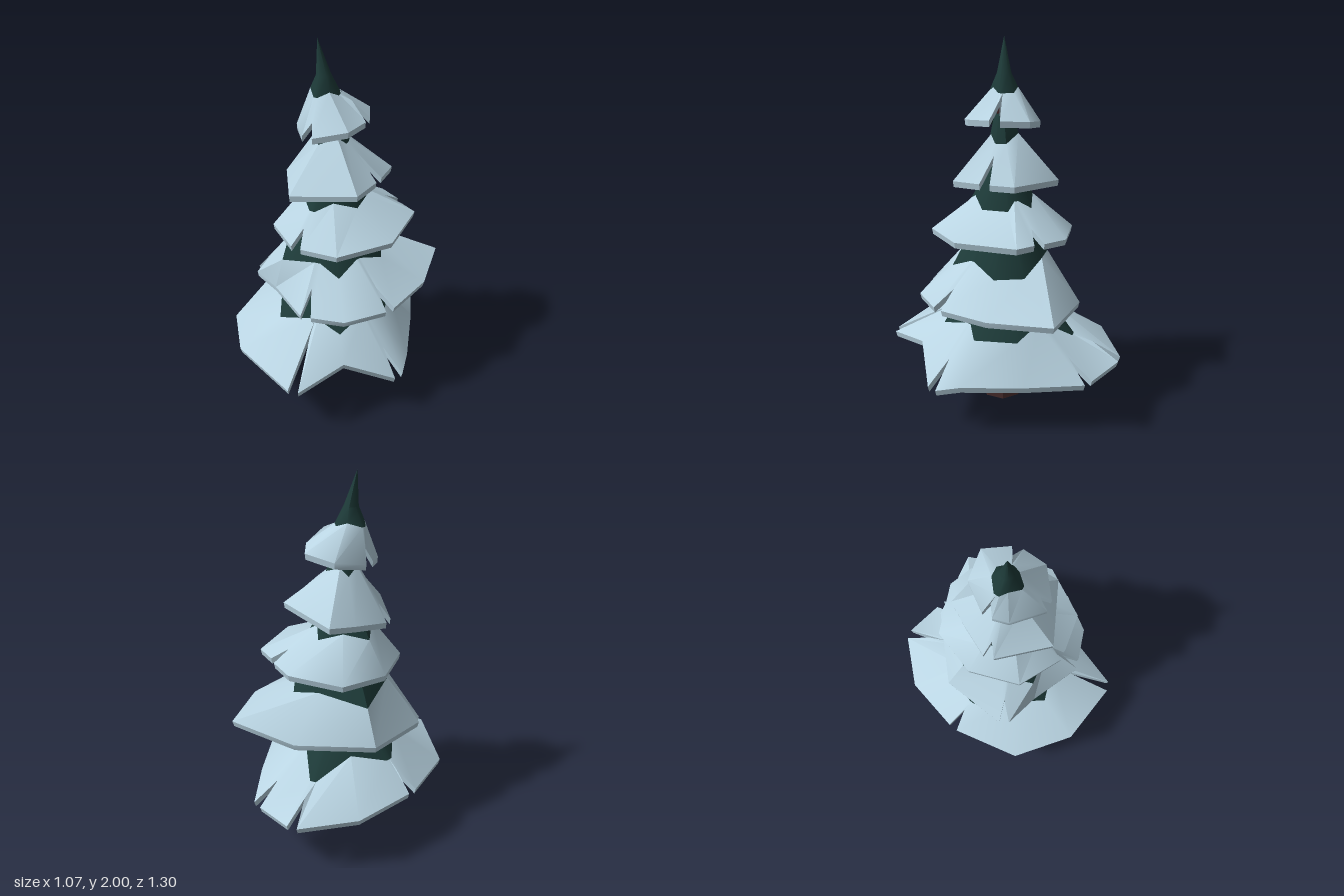
import * as THREE from 'three';
import { toCreasedNormals } from 'three/addons/utils/BufferGeometryUtils.js';

const material = (name, color) => {
  const m = new THREE.MeshStandardMaterial({ color });
  m.name = name;
  return m;
};

// Each tier: rim corners as [degrees from +x towards +z, radius, optional lift], which corners are cut
// by a notch, rim height and its tilt along x, and the [radius, height] of the snow line and neck
const TIERS = [
  {
    tipY: 0.78, neck: [0.18, 0.65], split: [0.31, 0.5], rimY: 0.32, tilt: -0.07, notches: [1, 3, 6, 8, 9], deep: 3, bare: 8,
    corners: [[17, 0.52], [32, 0.575, -0.03], [64, 0.48, 0.07], [90, 0.65], [128, 0.6, 0.02], [163, 0.56, -0.05],
      [208, 0.505], [247, 0.575], [279, 0.655], [305, 0.61], [338, 0.48]],
  },
  {
    tipY: 1.18, neck: [0.12, 1.06], split: [0.26, 0.84], rimY: 0.65, tilt: 0.08, notches: [1, 3, 5],
    corners: [[0, 0.535], [34, 0.5], [64, 0.48], [90, 0.43], [139, 0.33], [170, 0.42], [229, 0.38], [290, 0.45], [328, 0.63]],
  },
  {
    tipY: 1.44, neck: [0.08, 1.33], split: [0.17, 1.17], rimY: 1.01, tilt: 0.08, notches: [2, 7],
    corners: [[26, 0.43], [68, 0.4], [104, 0.34], [155, 0.31], [210, 0.3], [256, 0.36], [300, 0.4], [325, 0.4], [343, 0.45]],
  },
  {
    tipY: 1.66, neck: [0.055, 1.6], split: [0.085, 1.5], rimY: 1.28, tilt: 0.12, notches: [0, 3], deep: 0,
    corners: [[12, 0.28], [48, 0.315], [116, 0.3], [189, 0.25], [240, 0.22], [270, 0.28], [342, 0.316]],
  },
  {
    tipX: -0.06, tipY: 2, neck: [0.038, 1.82], split: [0.075, 1.74], rimY: 1.585, tilt: 0.16, notches: [0, 2, 4], deep: 0,
    corners: [[6, 0.2], [50, 0.22], [103, 0.225], [163, 0.17], [202, 0.16], [270, 0.18], [317, 0.22]],
  },
];

// Skin a run of equal-length rings, listed from the top over the rim to the underside
function skin(rings, crease) {
  const pos = [];
  for (let k = 0; k < rings.length - 1; k++) {
    const u = rings[k], l = rings[k + 1];
    for (let i = 0; i < u.length; i++) {
      const j = (i + 1) % u.length;
      if (l[i] !== l[j]) pos.push(...u[i], ...l[j], ...l[i]);
      if (u[i] !== u[j]) pos.push(...u[i], ...u[j], ...l[j]);
    }
  }
  const g = new THREE.BufferGeometry();
  g.setAttribute('position', new THREE.Float32BufferAttribute(pos, 3));
  return toCreasedNormals(g, crease);
}

// Rim outline as { a, r, y } plus the snow line's shift s; a notch becomes two lips around a climbing cut
function rimOutline({ corners, notches, rimY, tilt, split, deep, bare }) {
  return corners.flatMap(([degrees, r, lift = 0], i) => {
    const a = THREE.MathUtils.degToRad(degrees);
    const y = rimY + tilt * r * Math.cos(a) + lift;
    const s = split[0] * (i === bare ? 0.3 : i % 2 ? -0.1 : 0.1);
    if (!notches.includes(i)) return [{ a, r, y, s }];
    const cut = r * (i === deep ? 0.56 : 0.77);
    const climb = (split[1] - y) * (r - cut) / (r - split[0]);
    const gap = 0.028 / r;
    return [{ a: a - gap, r, y, s }, { a, r: cut, y: y + climb, s }, { a: a + gap, r, y, s }];
  });
}

export function createModel() {
  const snow = material('snow', 0xb9d4e2);
  const needles = material('needles', 0x1d3a38);
  const bark = material('bark', 0x3b2424);
  const wood = material('cut wood', 0x80643a);
  const innerWood = material('inner wood', 0x5a3c22);
  const tree = new THREE.Group();
  tree.name = 'snowyTree';
  const add = (parent, name, geometry, mat) => {
    const mesh = new THREE.Mesh(geometry, mat);
    mesh.name = name;
    parent.add(mesh);
    return mesh;
  };

  // Flared trunk
  const trunkProfile = [[0.115, 0], [0.062, 0.12], [0.052, 0.85], [0.028, 1.75]].map(([r, y]) => new THREE.Vector2(r, y));
  const trunk = add(tree, 'trunk', toCreasedNormals(new THREE.LatheGeometry(trunkProfile, 7), 0.4), bark);
  trunk.position.set(0.01, 0, 0.02);
  const foot = add(tree, 'trunkFoot', new THREE.CircleGeometry(0.115, 7), wood);
  foot.rotation.set(Math.PI / 2, 0, Math.PI / 2);
  foot.position.set(0.01, 0.001, 0.02);

  // Branch tiers
  TIERS.forEach((tier, index) => {
    const group = new THREE.Group();
    group.name = `branchTier${index + 1}`;
    tree.add(group);
    const { tipX = 0.01, tipY, neck, split } = tier;
    const outline = rimOutline(tier);
    const point = (a, r, y, x = 0, z = 0) => [x + r * Math.cos(a), y, z + r * Math.sin(a)];

    const tip = [tipX, tipY, 0.02];
    const hub = [0, split[1], 0];
    const peak = outline.map(() => tip);
    const collar = outline.map(({ a }) => point(a, neck[0], neck[1], tipX / 2, 0.015));
    // Zigzag snow line that slides along the slope
    const slope = (neck[1] - split[1]) / (split[0] - neck[0]);
    const snowLine = outline.map(({ a, s }) => point(a, split[0] + s, split[1] - s * slope * 0.7, tipX / 2, 0.01));
    const rim = outline.map(({ a, r, y }) => point(a, r, y));
    const lip = outline.map(({ a, r, y }) => point(a, r * 0.985, y - 0.032));
    const ceiling = outline.map(({ a }) => point(a, split[0] * 0.68, split[1] - 0.01));

    add(group, 'needleCore', skin([peak, collar, snowLine], 0.8), needles);
    add(group, 'snowSkirt', skin([snowLine, rim, lip], 0.62), snow);
    add(group, 'underside', skin([lip, ceiling], 0.62), needles);
    add(group, 'innerCap', skin([ceiling, outline.map(() => hub)], 0.45), index === 1 ? innerWood : needles);
  });
  return tree;
}
